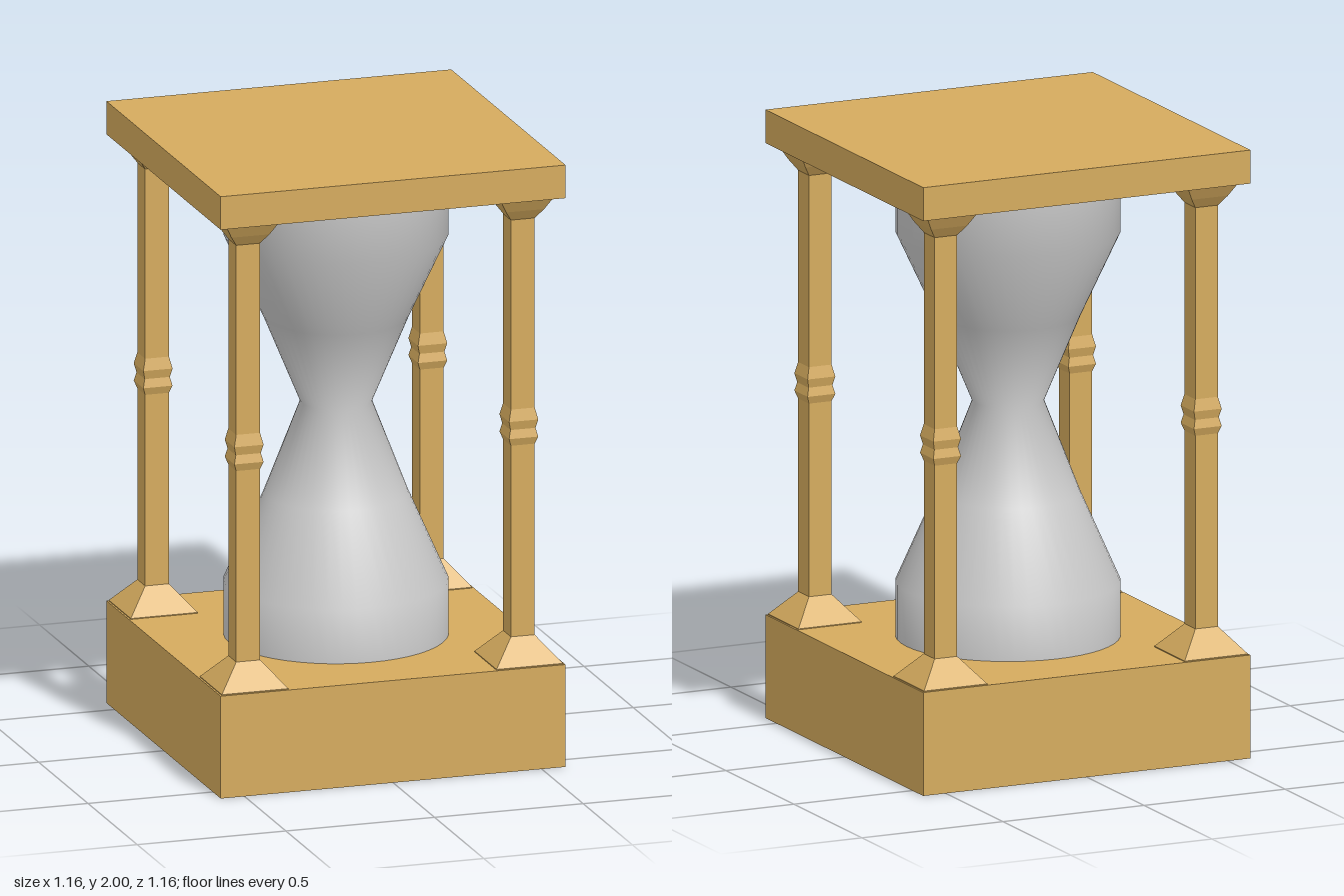
import * as THREE from 'three';

const wood = new THREE.MeshStandardMaterial({ color: 0xd5ab5e, flatShading: true });
const glass = new THREE.MeshStandardMaterial({ color: 0xcccccc, side: THREE.DoubleSide });

// Square plate between two heights
function plate(name, y0, y1) {
  const mesh = new THREE.Mesh(new THREE.BoxGeometry(1.16, y1 - y0, 1.16), wood);
  mesh.position.y = (y0 + y1) / 2;
  mesh.name = name;
  return mesh;
}

// Square post: four-sided lathe of [half width, height] pairs
function postGeometry() {
  const profile = [
    [0, 0.335], [0.112, 0.335], [0.112, 0.343], [0.04, 0.425], // foot
    [0.04, 1.06], [0.049, 1.085], [0.042, 1.113], [0.049, 1.142], [0.04, 1.18], // double ring
    [0.04, 1.81], [0.064, 1.844], [0.09, 1.89], [0, 1.89], // capital
  ];
  const points = profile.map(([w, y]) => new THREE.Vector2(w * Math.SQRT2, y));
  return new THREE.LatheGeometry(points, 4, Math.PI / 4);
}

export function createModel() {
  const model = new THREE.Group();
  model.name = 'hourglass';
  model.add(plate('base', 0, 0.34), plate('topPlate', 1.89, 2));

  // Corner posts
  const geometry = postGeometry();
  for (const x of [-1, 1]) {
    for (const z of [-1, 1]) {
      const post = new THREE.Mesh(geometry, wood);
      post.position.set(x * 0.462, 0, z * 0.462);
      post.name = (z > 0 ? 'front' : 'back') + (x > 0 ? 'Left' : 'Right') + 'Post';
      model.add(post);
    }
  }

  // Glass with a narrow waist
  const outline = [
    [0.36, 0.34], [0.36, 0.52], [0.232, 0.81], [0.115, 1.113],
    [0.232, 1.395], [0.36, 1.67], [0.36, 1.89],
  ].map(([r, y]) => new THREE.Vector2(r, y));
  const bulbs = new THREE.Mesh(new THREE.LatheGeometry(outline, 48), glass);
  bulbs.name = 'glassBulbs';
  model.add(bulbs);

  return model;
}
